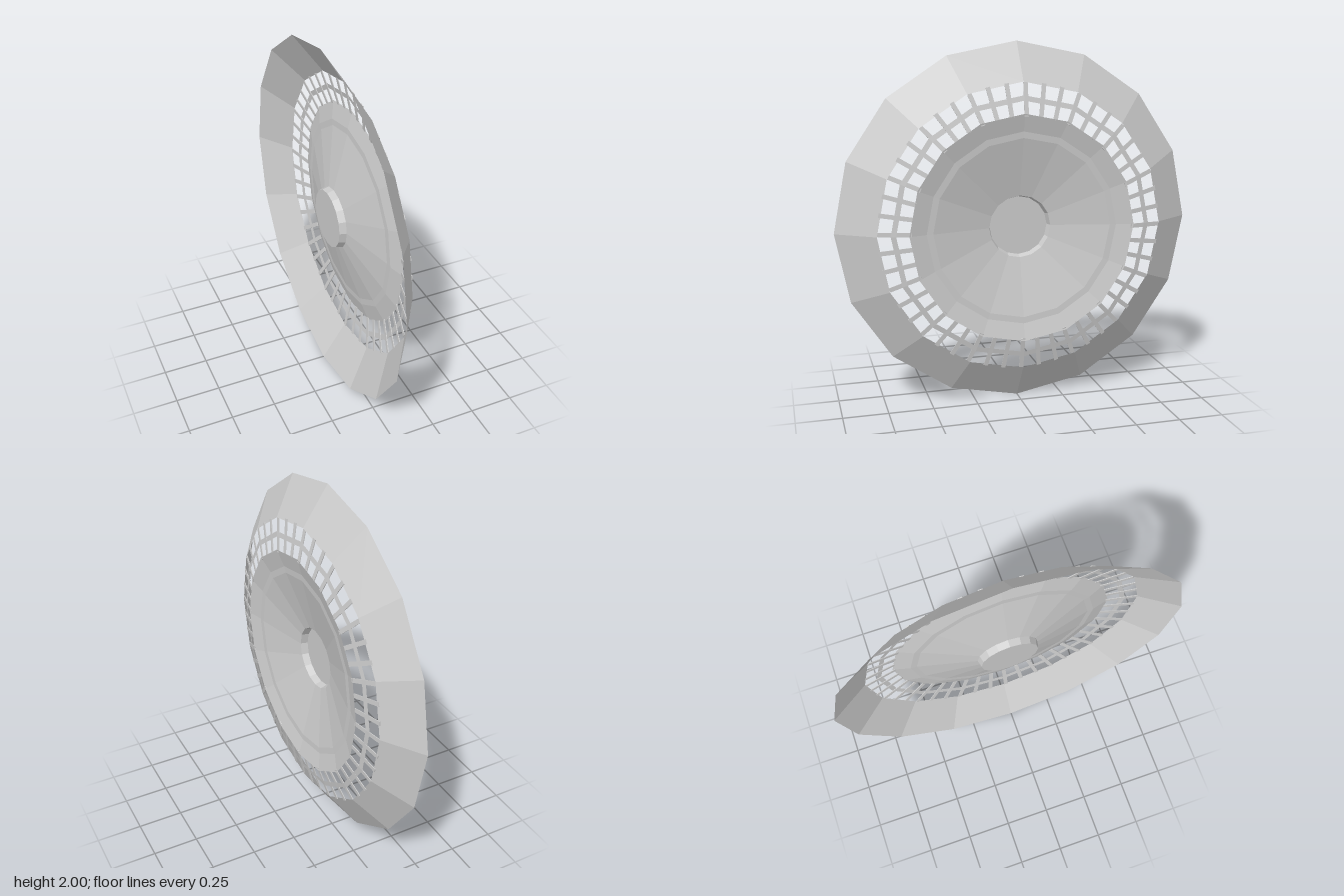
import * as THREE from 'three';

const SIDES = 16;
const BARS = 48;

export function createModel() {
  const model = new THREE.Group();
  model.name = 'ventedWheelCover';
  const material = new THREE.MeshStandardMaterial({
    color: 0xcccccc, flatShading: true, side: THREE.DoubleSide,
  });

  // Faceted shell turned about the x axis; profile points are [radius, x]
  function addShell(name, profile) {
    const points = profile.map(([r, x]) => new THREE.Vector2(r, x));
    const geometry = new THREE.LatheGeometry(points, SIDES).rotateZ(-Math.PI / 2);
    const mesh = new THREE.Mesh(geometry, material);
    mesh.name = name;
    mesh.position.y = 1;
    model.add(mesh);
  }

  // Sloping outer rim
  addShell('outerRim', [[1, -0.088], [0.79, 0.05]]);

  // Thin hoop through the middle of the grille
  addShell('grilleHoop', [[0.72, 0.064], [0.692, 0.07]]);

  // Dished centre with a flat step and a sunken hub
  addShell('dish', [[0.625, 0.085], [0.53, 0.06], [0.495, 0.058], [0.173, -0.02]]);
  addShell('hubRecess', [[0.173, -0.02], [0.163, -0.058], [0, -0.058]]);

  // Radial bars bridging the dish and the rim
  const inner = new THREE.Vector2(0.084, 0.61);
  const outer = new THREE.Vector2(0.049, 0.787);
  const span = outer.clone().sub(inner);
  const barGeometry = new THREE.BoxGeometry(0.004, span.length(), 0.024)
    .rotateZ(Math.atan2(-span.x, span.y))
    .translate((inner.x + outer.x) / 2 - 0.002, (inner.y + outer.y) / 2, 0);
  const grille = new THREE.Group();
  grille.name = 'grilleBars';
  grille.position.y = 1;
  for (let i = 0; i < BARS; i++) {
    const bar = new THREE.Mesh(barGeometry, material);
    bar.name = 'grilleBar';
    bar.rotation.x = (i / BARS) * Math.PI * 2 - 0.015;
    grille.add(bar);
  }
  model.add(grille);

  return model;
}
